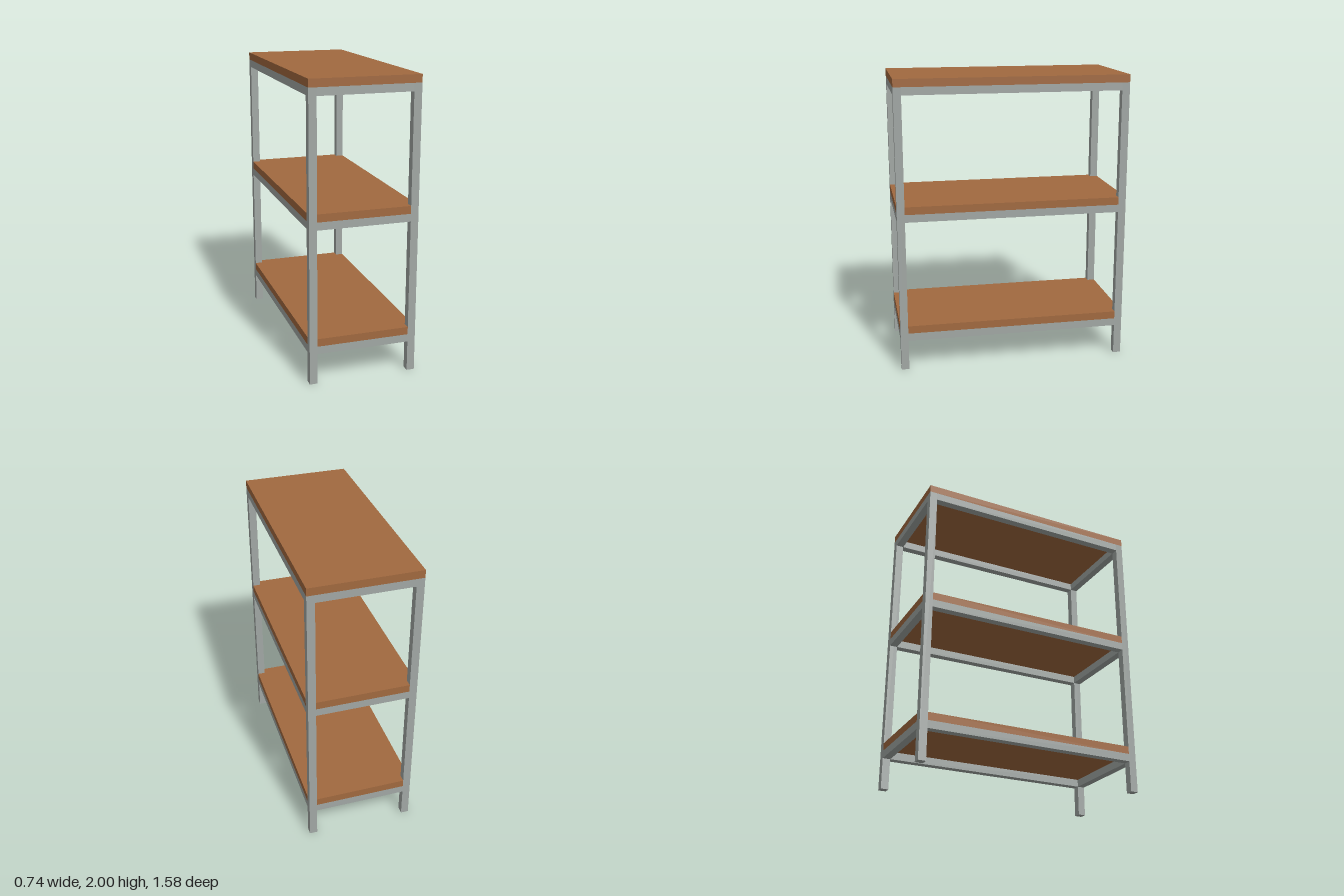
import * as THREE from 'three';

const U = 1 / 19; // tube thickness, used as the module of the whole design
const HX = 7 * U, HZ = 15 * U; // half width and half depth

export function createModel() {
  const metal = new THREE.MeshStandardMaterial({ color: 0xa1a7a4 });
  metal.name = 'grey metal';
  const wood = new THREE.MeshStandardMaterial({ color: 0xa1693f });
  wood.name = 'brown wood';

  const model = new THREE.Group();
  model.name = 'shelfUnit';

  function add(parent, name, geometry, material, x, y, z) {
    const mesh = new THREE.Mesh(geometry, material);
    mesh.name = name;
    mesh.position.set(x, y, z);
    parent.add(mesh);
  }

  // Four square legs, ending under the top board
  const legHeight = 37 * U;
  const leg = new THREE.BoxGeometry(U, legHeight, U);
  for (const sx of [-1, 1]) for (const sz of [-1, 1]) {
    const name = (sz > 0 ? 'front' : 'back') + (sx > 0 ? 'Left' : 'Right') + 'Leg';
    add(model, name, leg, metal, sx * (HX - U / 2), legHeight / 2, sz * (HZ - U / 2));
  }

  // Shelf board with its corners cut out around the legs
  const ix = HX - U, iz = HZ - U;
  const outline = new THREE.Shape([
    [-ix, -HZ], [ix, -HZ], [ix, -iz], [HX, -iz], [HX, iz], [ix, iz],
    [ix, HZ], [-ix, HZ], [-ix, iz], [-HX, iz], [-HX, -iz], [-ix, -iz],
  ].map(([x, z]) => new THREE.Vector2(x, z)));
  const notchedBoard = new THREE.ExtrudeGeometry(outline, { depth: U, bevelEnabled: false });
  notchedBoard.rotateX(-Math.PI / 2).translate(0, -U / 2, 0);
  const topBoard = new THREE.BoxGeometry(2 * HX, U, 2 * HZ);

  // Each level: a frame of four rails with a board on top
  const shortRail = new THREE.BoxGeometry(2 * ix, U, U);
  const longRail = new THREE.BoxGeometry(U, U, 2 * iz);
  const levels = [['lower', 4], ['middle', 20], ['top', 36]];
  for (const [name, base] of levels) {
    const level = new THREE.Group();
    level.name = name + 'Level';
    level.position.y = base * U;
    model.add(level);
    for (const s of [-1, 1]) {
      add(level, s > 0 ? 'frontRail' : 'backRail', shortRail, metal, 0, U / 2, s * (HZ - U / 2));
      add(level, s > 0 ? 'leftRail' : 'rightRail', longRail, metal, s * (HX - U / 2), U / 2, 0);
    }
    add(level, name + 'Board', name === 'top' ? topBoard : notchedBoard, wood, 0, 1.5 * U, 0);
  }
  return model;
}
